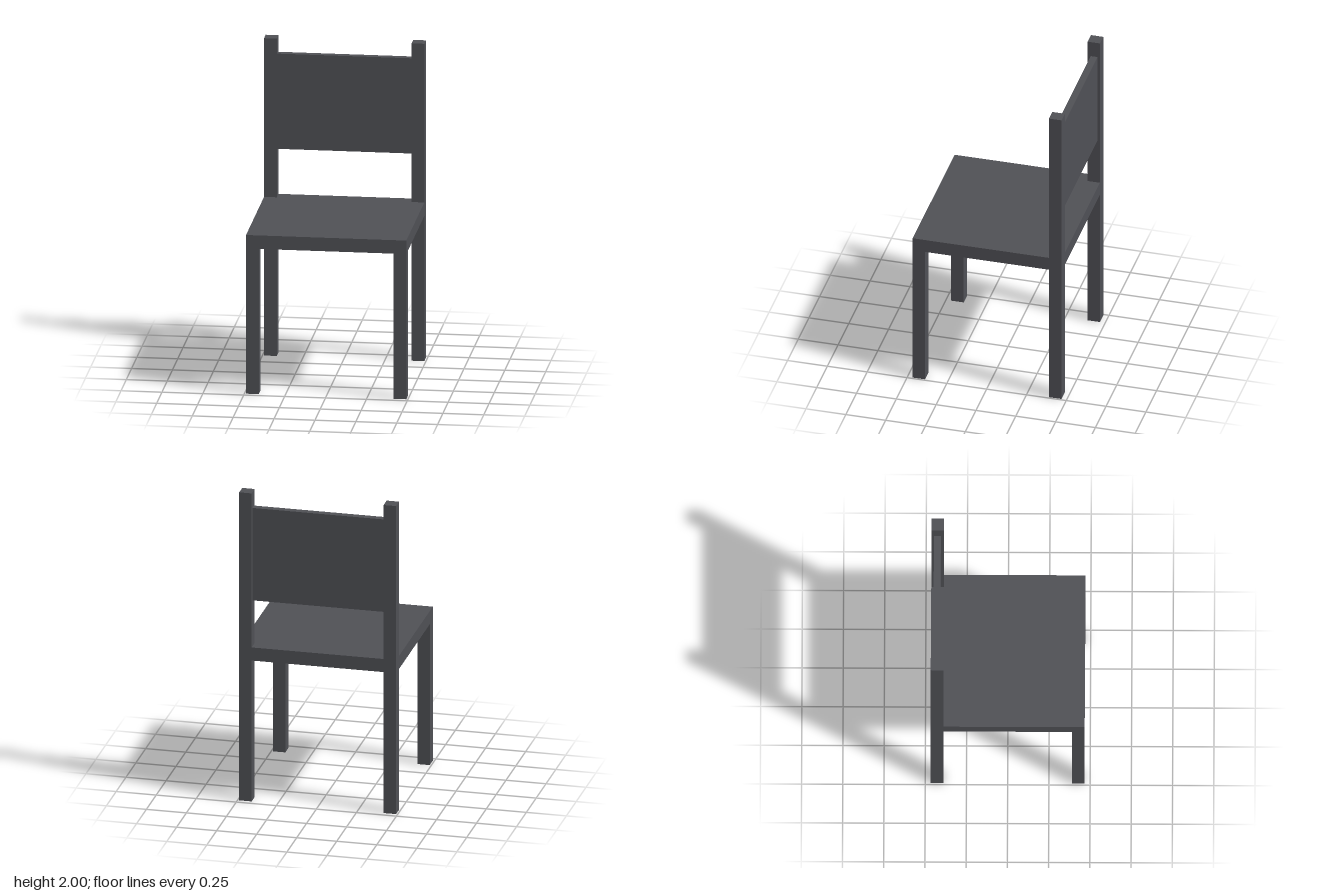
import * as THREE from 'three';

const WIDTH = 0.98, DEPTH = 0.934, POST = 0.078;
const SEAT_BOTTOM = 0.915, SEAT_TOP = 1.0, HEIGHT = 2.0;

export function createModel() {
  const chair = new THREE.Group();
  chair.name = 'chair';
  const material = new THREE.MeshStandardMaterial({ color: 0x505156 });

  // Box given by its centre in x and z and its vertical extent
  function box(name, w, d, y0, y1, x, z) {
    const mesh = new THREE.Mesh(new THREE.BoxGeometry(w, y1 - y0, d), material);
    mesh.name = name;
    mesh.position.set(x, (y0 + y1) / 2, z);
    chair.add(mesh);
  }

  box('seat', WIDTH, DEPTH, SEAT_BOTTOM, SEAT_TOP, 0, 0);

  // Legs under the corners, with back posts continuing above the seat
  const px = (WIDTH - POST) / 2, pz = (DEPTH - POST) / 2;
  for (const [side, s] of [['Left', 1], ['Right', -1]]) {
    box('front' + side + 'Leg', POST, POST, 0, SEAT_BOTTOM, s * px, pz);
    box('back' + side + 'Leg', POST, POST, 0, SEAT_BOTTOM, s * px, -pz);
    box('back' + side + 'Post', POST, POST, SEAT_TOP, HEIGHT, s * px, -pz);
  }

  // Backrest panel between the posts
  box('backrest', WIDTH - 2 * POST, 0.042, 1.3, 1.9, 0, -0.43);

  return chair;
}
